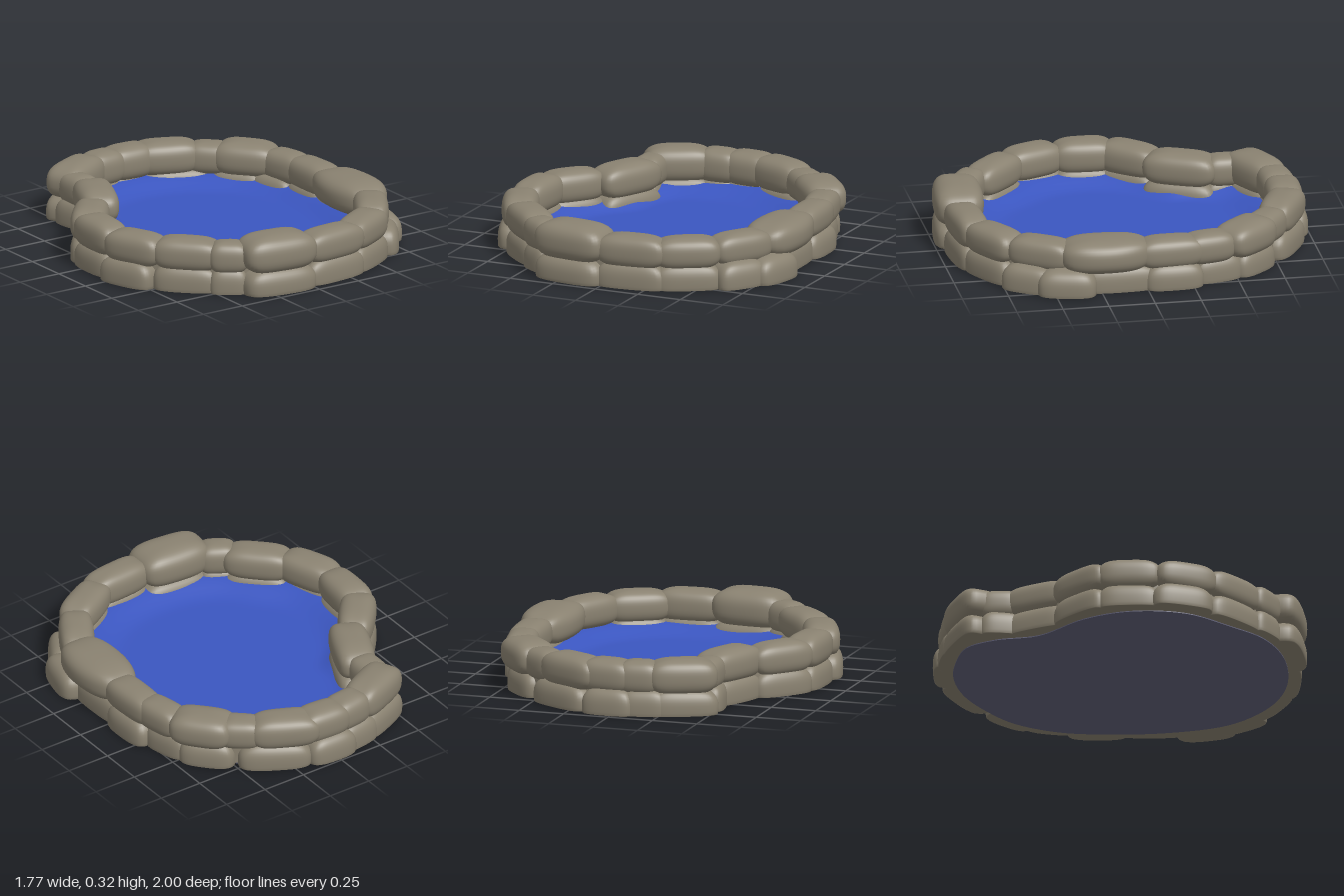
import * as THREE from 'three';
import { mergeVertices } from 'three/addons/utils/BufferGeometryUtils.js';

// Upper course: x, z, length, depth, heading in degrees, top height
const UPPER = [
  [-0.185, 0.855, 0.38, 0.27, 6, 0.32],
  [0.16, 0.865, 0.35, 0.19, -5, 0.29],
  [0.43, 0.765, 0.32, 0.20, -30, 0.285],
  [0.64, 0.55, 0.32, 0.19, -58, 0.285],
  [0.728, 0.22, 0.46, 0.30, -89, 0.295],
  [0.735, -0.13, 0.33, 0.19, 88, 0.28],
  [0.705, -0.34, 0.25, 0.18, 78, 0.28],
  [0.60, -0.56, 0.31, 0.24, 49, 0.295],
  [0.45, -0.70, 0.21, 0.18, 40, 0.28],
  [0.25, -0.82, 0.34, 0.21, 25, 0.295],
  [0.04, -0.87, 0.25, 0.20, 4, 0.295],
  [-0.13, -0.86, 0.20, 0.19, -6, 0.295],
  [-0.345, -0.79, 0.34, 0.22, -26, 0.305],
  [-0.435, -0.635, 0.18, 0.17, 88, 0.28],
  [-0.48, -0.41, 0.36, 0.22, -66, 0.295],
  [-0.68, -0.17, 0.32, 0.20, -50, 0.29],
  [-0.77, 0.07, 0.30, 0.20, -87, 0.295],
  [-0.74, 0.355, 0.31, 0.20, 68, 0.29],
  [-0.57, 0.59, 0.33, 0.20, 45, 0.29],
  [-0.42, 0.755, 0.17, 0.17, 32, 0.285],
];

// Lower course stones that differ from the one above: x, z, length, depth, heading
const LOWER = {
  3: [0.66, 0.61, 0.26, 0.20, -58],
  4: [0.755, 0.43, 0.28, 0.23, -75],
  5: [0.735, 0.14, 0.36, 0.18, 90],
  6: [0.74, -0.14, 0.28, 0.21, 88],
  7: [0.67, -0.38, 0.24, 0.19, 75],
  8: [0.57, -0.58, 0.27, 0.21, 50],
  9: [0.30, -0.80, 0.36, 0.21, 28],
  10: [0.02, -0.90, 0.25, 0.20, 2],
  11: [-0.16, -0.87, 0.22, 0.19, -8],
  13: [-0.45, -0.63, 0.19, 0.17, 80],
  17: [-0.765, 0.34, 0.30, 0.20, 72],
};

// Pillow-shaped stone: squarish seen from above, rounder in section
function stoneGeometry(length, height, depth, seed) {
  const box = new THREE.BoxGeometry(2, 2, 2, 14, 12, 12);
  box.deleteAttribute('uv');
  box.deleteAttribute('normal');
  const geo = mergeVertices(box);
  const pos = geo.attributes.position;
  const v = new THREE.Vector3();
  const plan = 4.6;
  const section = 2.7;
  const bulge = depth > 0.28 ? 0.34 : 0.1;
  for (let i = 0; i < pos.count; i++) {
    v.fromBufferAttribute(pos, i);
    const flat = Math.pow(Math.abs(v.x) ** plan + Math.abs(v.z) ** plan, 1 / plan);
    v.divideScalar(Math.pow(flat ** section + Math.abs(v.y) ** section, 1 / section));
    // Slight taper and uneven sides make each stone different
    const side = 1 - bulge * v.x * v.x + 0.05 * v.x * Math.sin(seed * 2.3);
    const top = v.y > 0 ? 1 - 0.03 * (1 + v.x * Math.sin(seed * 1.7)) : 1;
    pos.setXYZ(i, v.x * length / 2 * (1 + 0.03 * v.z * Math.sin(seed)),
      v.y * top * height / 2, v.z * side * depth / 2);
  }
  return geo;
}

export function createModel() {
  const group = new THREE.Group();
  group.name = 'stonePond';

  const stone = new THREE.MeshStandardMaterial({ color: 0x8a8271 });
  stone.name = 'stone';
  const water = new THREE.MeshStandardMaterial({ color: 0x3b56c0 });
  water.name = 'water';
  const dark = new THREE.MeshStandardMaterial({ color: 0x606078 });
  dark.name = 'darkUnderside';

  const add = (name, geometry, material, parent = group) => {
    const mesh = new THREE.Mesh(geometry, material);
    mesh.name = name;
    parent.add(mesh);
  };

  // Two courses of stones; the lower ones are cut flat at the ground
  const upper = new THREE.Group();
  upper.name = 'upperStones';
  const lower = new THREE.Group();
  lower.name = 'lowerStones';
  group.add(upper, lower);
  const place = (parent, name, [x, z, length, depth, heading], y0, y1, seed) => {
    const geo = stoneGeometry(length + 0.04, y1 - y0, depth, seed);
    geo.rotateY(-THREE.MathUtils.degToRad(heading)).translate(x, (y0 + y1) / 2, z);
    const pos = geo.attributes.position;
    for (let i = 0; i < pos.count; i++) pos.setY(i, Math.max(pos.getY(i), 0.005));
    geo.computeVertexNormals();
    add(name, geo, stone, parent);
  };
  UPPER.forEach((s, i) => {
    place(upper, 'upperStone', s, 0.108, s[5] + 0.004, i + 1);
    place(lower, 'lowerStone', LOWER[i] || s, -0.07, 0.155, i + 31);
  });

  // Centre line of the wall, pushed in or out from the middle
  const curve = new THREE.CatmullRomCurve3(
    UPPER.map(([x, z]) => new THREE.Vector3(x, 0, z)), true, 'centripetal');
  const line = curve.getPoints(120).slice(0, 120);
  const outline = (offset) => line.map((p) => {
    const k = 1 + offset / Math.hypot(p.x, p.z);
    return new THREE.Vector2(p.x * k, p.z * k);
  });
  const slab = (shape, bottom, top) => new THREE.ExtrudeGeometry(shape,
    { depth: top - bottom, bevelEnabled: false }).rotateX(Math.PI / 2).translate(0, top, 0);

  // Core that fills the joints between the stones
  const core = new THREE.Shape(outline(0.045));
  core.holes.push(new THREE.Path(outline(-0.055)));
  add('wallCore', slab(core, 0.02, 0.25), stone);

  // Flat underside
  add('underside', slab(new THREE.Shape(outline(0.02)), 0, 0.012), dark);

  // Water: concentric rings that rise towards the wall
  const rings = 24;
  const n = line.length;
  const positions = [];
  const index = [];
  for (let r = 0; r <= rings; r++) {
    const t = r / rings;
    const y = 0.066 + 0.05 * THREE.MathUtils.smoothstep(t, 0.7, 0.96);
    for (const p of line) positions.push(p.x * t, y, p.z * t);
  }
  for (let r = 0; r < rings; r++) {
    for (let i = 0; i < n; i++) {
      const a = r * n + i;
      const b = r * n + (i + 1) % n;
      if (r > 0) index.push(a, a + n, b);
      index.push(b, a + n, b + n);
    }
  }
  const pool = new THREE.BufferGeometry();
  pool.setAttribute('position', new THREE.Float32BufferAttribute(positions, 3));
  // The wall line runs anticlockwise from above, so faces point up
  pool.setIndex(index);
  pool.computeVertexNormals();
  add('water', pool, water);

  return group;
}
